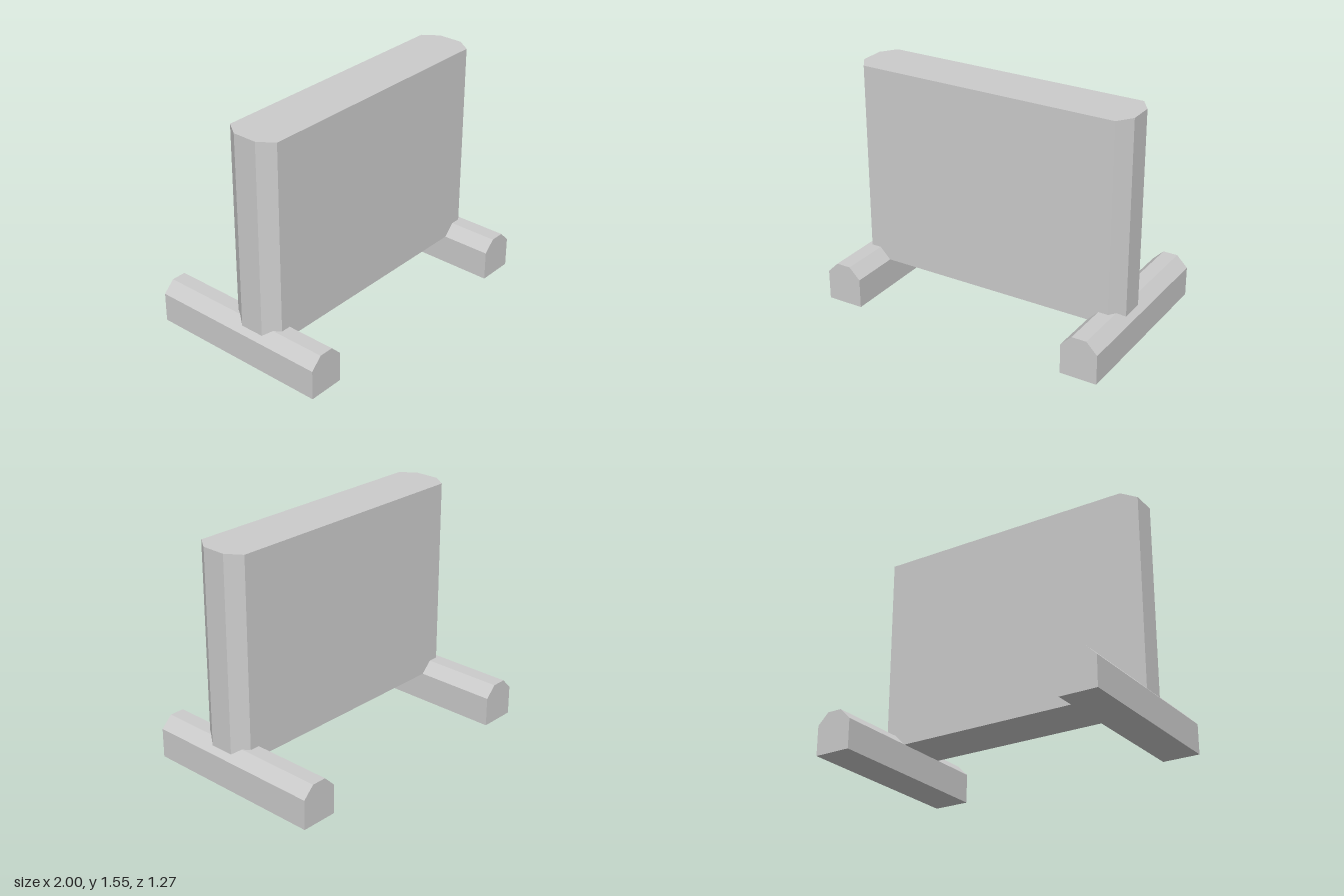
import * as THREE from 'three';

const material = new THREE.MeshStandardMaterial({ color: 0xcccccc, flatShading: true });

// Straight prism from a 2D outline
function prism(name, points, depth) {
  const shape = new THREE.Shape(points.map(([x, y]) => new THREE.Vector2(x, y)));
  const geometry = new THREE.ExtrudeGeometry(shape, { depth, bevelEnabled: false });
  const mesh = new THREE.Mesh(geometry, material);
  mesh.name = name;
  return mesh;
}

export function createModel() {
  const group = new THREE.Group();
  group.name = 'standingPanel';

  // Upright panel with chamfered vertical edges, set slightly forward
  const w = 0.965, wFlat = 0.893, d = 0.185, dFlat = 0.083;
  const panel = prism('panel', [
    [-wFlat, -d], [wFlat, -d], [w, -dFlat], [w, dFlat],
    [wFlat, d], [-wFlat, d], [-w, dFlat], [-w, -dFlat],
  ], 1.35);
  panel.geometry.rotateX(-Math.PI / 2);
  panel.position.set(0, 0.2, 0.11);
  group.add(panel);

  // Two long feet with chamfered top edges
  for (const [name, side] of [['leftFoot', 1], ['rightFoot', -1]]) {
    const foot = prism(name, [
      [-0.125, 0], [0.125, 0], [0.125, 0.2],
      [0.05, 0.275], [-0.05, 0.275], [-0.125, 0.2],
    ], 1.27);
    foot.position.set(side * 0.875, 0, -0.635);
    group.add(foot);
  }
  return group;
}
